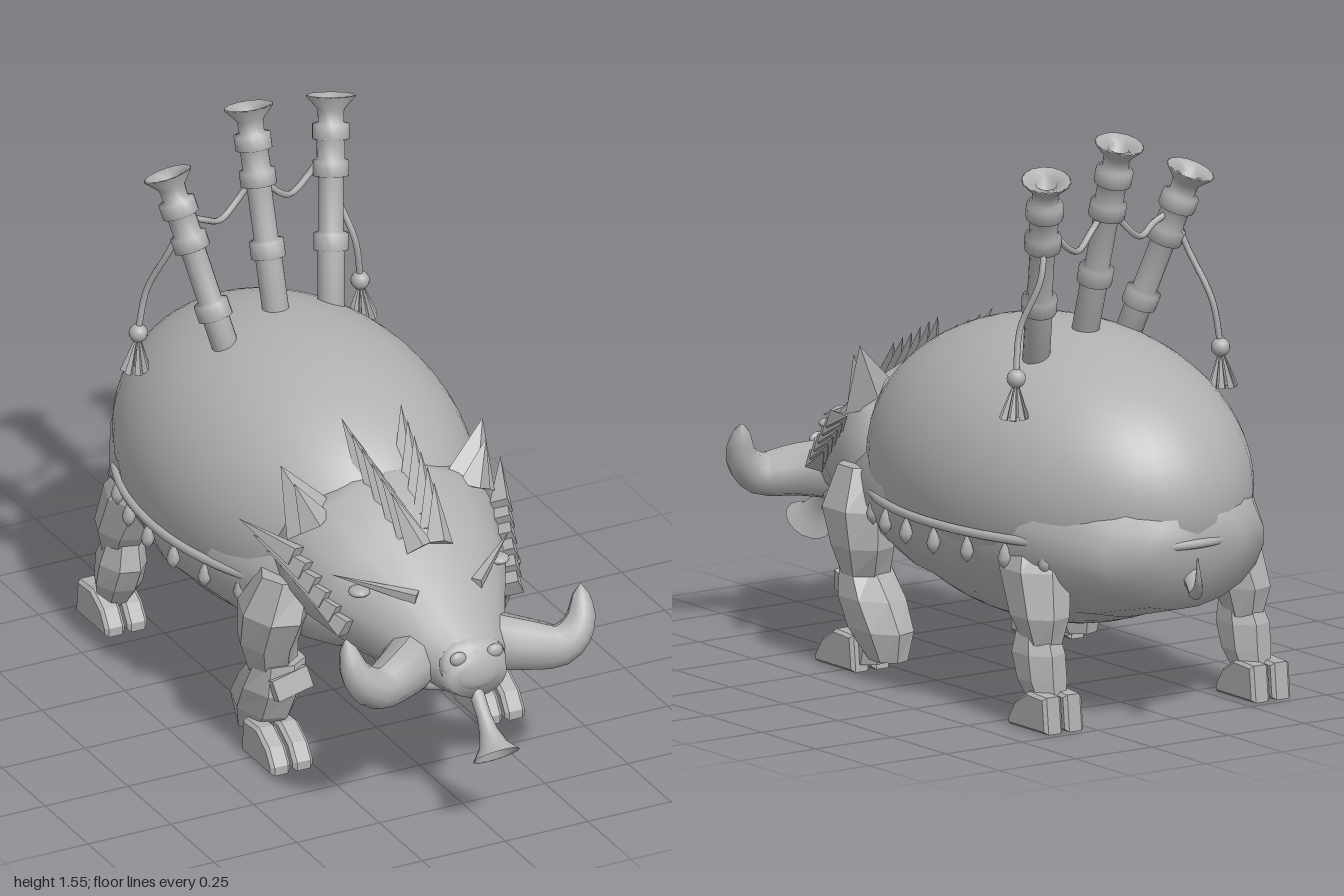
import * as THREE from 'three';

const grey = new THREE.MeshStandardMaterial({ color: 0xb0b0b0 });
grey.name = 'grey';
const V = (x, y, z) => new THREE.Vector3(x, y, z);

// Closed skin over elliptical rings [cx, cy, cz, rx, r2] stacked along increasing z or y
function loft(rings, sides, axis, flat) {
  const pos = [], idx = [], last = rings.length - 1;
  for (const [x, y, z, r1, r2] of rings) {
    for (let j = 0; j < sides; j++) {
      const a = (j + 0.5) / sides * Math.PI * 2, c = Math.cos(a) * r1, s = Math.sin(a) * r2;
      if (axis === 'z') pos.push(x + c, y + s, z); else pos.push(x + c, y, z - s);
    }
  }
  for (let i = 0; i < last; i++) for (let j = 0; j < sides; j++) {
    const k = (j + 1) % sides, a = i * sides + j, b = i * sides + k;
    idx.push(a, b, b + sides, a, b + sides, a + sides);
  }
  const base = pos.length / 3;
  pos.push(...rings[0].slice(0, 3), ...rings[last].slice(0, 3));
  for (let j = 0; j < sides; j++) {
    const k = (j + 1) % sides;
    idx.push(base, k, j, base + 1, last * sides + j, last * sides + k);
  }
  let geo = new THREE.BufferGeometry();
  geo.setAttribute('position', new THREE.Float32BufferAttribute(pos, 3));
  geo.setIndex(idx);
  if (flat) geo = geo.toNonIndexed();
  geo.computeVertexNormals();
  return geo;
}

// Tube whose radius follows radius(t)
function taperTube(points, radius, segs = 16, sides = 10) {
  const curve = new THREE.CatmullRomCurve3(points);
  const geo = new THREE.TubeGeometry(curve, segs, 1, sides), p = geo.attributes.position, v = V(0, 0, 0);
  for (let i = 0; i < p.count; i++) {
    const t = Math.floor(i / (sides + 1)) / segs, c = curve.getPointAt(t);
    v.fromBufferAttribute(p, i).sub(c).multiplyScalar(radius(t)).add(c);
    p.setXYZ(i, v.x, v.y, v.z);
  }
  geo.computeVertexNormals();
  return geo;
}

function lathe(profile, sides) {
  return new THREE.LatheGeometry(profile.map(([r, y]) => new THREE.Vector2(r, y)), sides);
}

export function createModel() {
  const model = new THREE.Group();
  const add = (name, geo, parent = model) => {
    const m = new THREE.Mesh(geo, grey);
    m.name = name;
    parent.add(m);
    return m;
  };
  const ball = (name, p, rx, ry = rx, rz = rx) => {
    const m = add(name, new THREE.SphereGeometry(1, 14, 10));
    m.position.copy(p);
    m.scale.set(rx, ry, rz);
    return m;
  };
  const aim = (m, from, to) => {
    m.position.copy(from);
    m.quaternion.setFromUnitVectors(V(0, 1, 0), to.clone().sub(from).normalize());
    return m;
  };
  const spike = (name, from, to, w, t) => {
    const geo = new THREE.ConeGeometry(1, 1, 4).toNonIndexed();
    geo.translate(0, 0.5, 0);
    geo.scale(w, from.distanceTo(to), t);
    geo.computeVertexNormals();
    return aim(add(name, geo), from, to);
  };

  // Inflated bag and the belly below it
  const bag = new THREE.SphereGeometry(1, 48, 32);
  bag.scale(0.44, 0.41, 0.65);
  add('bag', bag).position.set(0, 0.595, -0.22);
  add('belly', loft([
    [0, 0.5, -0.86, 0.16, 0.08], [0, 0.48, -0.8, 0.26, 0.17], [0, 0.5, -0.6, 0.37, 0.245],
    [0, 0.5, -0.25, 0.425, 0.29], [0, 0.5, 0.05, 0.40, 0.265], [0, 0.5, 0.3, 0.32, 0.22],
    [0, 0.5, 0.42, 0.2, 0.15]], 20, 'z'));

  // Rim cord and hanging drops around the bag
  const onRim = (a, y) => V(Math.sin(a) * 0.434, y, -0.22 + Math.cos(a) * 0.64);
  const rimPath = [];
  for (let i = 0; i < 40; i++) rimPath.push(onRim(i / 40 * Math.PI * 2, 0.5));
  add('rimCord', new THREE.TubeGeometry(new THREE.CatmullRomCurve3(rimPath, true), 80, 0.013, 8, true));
  const drop = lathe([[0, -0.04], [0.014, -0.025], [0.019, -0.008], [0.012, 0.015], [0, 0.04]], 6);
  for (const s of [-1, 1]) for (let i = 0; i < 11; i++) {
    add('rimDrop', drop).position.copy(onRim(s * (0.75 + i * 0.215), 0.455));
  }

  // Head, snout and face
  add('head', loft([
    [0, 0.58, 0.2, 0.31, 0.24], [0, 0.58, 0.35, 0.32, 0.23], [0, 0.53, 0.5, 0.265, 0.195],
    [0, 0.495, 0.62, 0.2, 0.155], [0, 0.455, 0.74, 0.135, 0.105], [0, 0.44, 0.8, 0.105, 0.085],
    [0, 0.425, 0.845, 0.085, 0.06]], 18, 'z'));
  ball('snoutPad', V(0, 0.455, 0.81), 0.1, 0.075, 0.04).rotation.x = -0.4;
  ball('jaw', V(0, 0.38, 0.6), 0.17, 0.05, 0.2);

  for (const s of [-1, 1]) {
    ball('nostril', V(s * 0.055, 0.485, 0.832), 0.024, 0.02, 0.014);
    ball('eye', V(s * 0.21, 0.6, 0.555), 0.03, 0.014, 0.03);
    spike('brow', V(s * 0.09, 0.6, 0.66), V(s * 0.27, 0.64, 0.5), 0.02, 0.02);
    add('tusk', taperTube([V(s * 0.08, 0.44, 0.66), V(s * 0.18, 0.435, 0.74), V(s * 0.28, 0.43, 0.785),
      V(s * 0.335, 0.48, 0.785), V(s * 0.355, 0.58, 0.755)], t => 0.085 * Math.sqrt(1 - t) + 0.002));

    // Ear: broad pointed shell with an inner ridge
    spike('ear', V(s * 0.235, 0.71, 0.33), V(s * 0.305, 0.875, 0.28), 0.085, 0.05);
    spike('innerEar', V(s * 0.24, 0.72, 0.36), V(s * 0.29, 0.84, 0.33), 0.05, 0.03);

    // Mane blades on the crown and tufts on the cheeks
    for (let i = 0; i < 6; i++) {
      const t = i / 5, x = 0.03 + 0.025 * t, y = 0.69 + 0.1 * t, z = 0.56 - 0.24 * t;
      spike('maneBlade', V(s * x, y, z), V(s * (x + 0.035), y + 0.13 + 0.02 * t, z - 0.1), 0.04, 0.03);
      const b = V(s * (0.25 + 0.06 * t), 0.5 + 0.15 * t, 0.56 - 0.18 * t);
      spike('cheekTuft', b, V(s * (0.31 + 0.085 * t), b.y + 0.055, b.z - 0.12 - 0.05 * t), 0.035, 0.035);
    }
  }

  // Chanter pipe held in the mouth
  const chanter = new THREE.Group();
  chanter.name = 'chanter';
  model.add(chanter);
  aim(chanter, V(0, 0.41, 0.8), V(0, 0.235, 0.948));
  add('chanterPipe', lathe([[0, 0], [0.02, 0], [0.02, 0.12], [0.026, 0.16], [0.04, 0.2], [0.066, 0.23],
    [0.06, 0.228], [0.02, 0.18], [0, 0.17]], 16), chanter);
  for (let i = 0; i < 4; i++) {
    const key = add('chanterKey', new THREE.SphereGeometry(0.009, 8, 6), chanter);
    key.position.set(0, 0.05 + i * 0.032, 0.021);
  }

  // Three drone pipes, each with collars and a flared mouth
  const drones = [
    [V(-0.175, 0.91, -0.26), V(-0.272, 1.415, -0.44)],
    [V(0, 0.92, -0.315), V(0, 1.53, -0.495)],
    [V(0.18, 0.91, -0.36), V(0.275, 1.475, -0.545)]];
  for (const [from, to] of drones) {
    const h = from.distanceTo(to), y = d => h - d;
    aim(add('drone', lathe([[0, 0], [0.037, 0], [0.037, y(0.42)], [0.048, y(0.415)], [0.048, y(0.37)],
      [0.034, y(0.365)], [0.034, y(0.22)], [0.05, y(0.215)], [0.05, y(0.175)], [0.039, y(0.17)],
      [0.039, y(0.12)], [0.051, y(0.115)], [0.051, y(0.075)], [0.035, y(0.07)], [0.037, y(0.035)],
      [0.068, 0.0 + h], [0.064, h + 0.003], [0.028, y(0.012)], [0.028, y(0.04)], [0, y(0.04)]], 14)), from, to);
  }

  // Cords draped between the drones, ending in tassels
  const cord = (...pts) => add('cord', new THREE.TubeGeometry(new THREE.CatmullRomCurve3(pts), 24, 0.009, 7));
  for (const s of [-1, 1]) {
    const y = s < 0 ? 1.3 : 1.34, z = s < 0 ? -0.4 : -0.5;
    cord(V(0, 1.36, -0.445), V(s * 0.06, 1.285, -0.445), V(s * 0.12, 1.25, (z - 0.45) / 2),
      V(s * 0.18, 1.275, z), V(s * 0.235, y, z));
    cord(V(s * 0.25, y - 0.02, z), V(s * 0.275, 1.2, z - 0.02), V(s * 0.315, 1.06, -0.48), V(s * 0.335, 0.94, -0.49));
    ball('tasselKnot', V(s * 0.335, 0.93, -0.49), 0.026);
    for (let i = 0; i < 7; i++) {
      const a = i / 7 * Math.PI * 2;
      const end = V(s * 0.343 + Math.cos(a) * 0.032, 0.82, -0.49 + Math.sin(a) * 0.032);
      spike('tasselStrand', end, V(s * 0.335, 0.935, -0.49), 0.012, 0.012);
    }
  }

  // Angular legs with split hooves
  const toe = new THREE.Shape([[-0.09, 0], [0.09, 0], [0.09, 0.025], [0.06, 0.07], [0.0, 0.105], [-0.08, 0.1]]
    .map(([z, y]) => new THREE.Vector2(z, y)));
  const toeGeo = new THREE.ExtrudeGeometry(toe, { depth: 0.04, bevelSize: 0.008, bevelThickness: 0.01, bevelSegments: 1, bevelOffset: -0.008 });
  toeGeo.translate(0, 0, -0.02);
  toeGeo.rotateY(-Math.PI / 2);
  for (const s of [-1, 1]) {
    const leg = (name, rings) => add(name, loft(rings.map(([x, ...r]) => [s * x, ...r]), 7, 'y', true));
    leg('frontThigh', [[0.31, 0.26, 0.24, 0.07, 0.06], [0.325, 0.34, 0.24, 0.08, 0.1],
      [0.32, 0.44, 0.265, 0.09, 0.125], [0.28, 0.55, 0.28, 0.08, 0.08]]);
    leg('frontShin', [[0.31, 0.04, 0.14, 0.05, 0.06], [0.31, 0.12, 0.18, 0.075, 0.12],
      [0.305, 0.2, 0.225, 0.085, 0.11], [0.3, 0.285, 0.26, 0.075, 0.06]]);
    leg('frontAnkle', [[0.315, 0.02, 0.22, 0.05, 0.05], [0.31, 0.12, 0.2, 0.055, 0.06]]);
    const pad = add('kneePad', new THREE.BoxGeometry(0.11, 0.06, 0.03));
    pad.position.set(s * 0.295, 0.235, 0.32);
    pad.rotation.set(-0.3, 0, -s * 0.2);
    leg('rearThigh', [[0.33, 0.22, -0.61, 0.05, 0.05], [0.33, 0.3, -0.59, 0.075, 0.095],
      [0.31, 0.42, -0.54, 0.09, 0.115], [0.27, 0.52, -0.5, 0.08, 0.08]]);
    leg('rearShin', [[0.335, 0.06, -0.64, 0.045, 0.05], [0.335, 0.13, -0.61, 0.065, 0.075],
      [0.335, 0.2, -0.59, 0.065, 0.09], [0.33, 0.275, -0.58, 0.05, 0.06]]);
    for (const [x, z] of [[0.32, 0.29], [0.34, -0.635]]) for (const d of [-0.034, 0.034]) {
      add('hoof', toeGeo).position.set(s * x + d, 0, z);
    }
  }

  // Curled tail
  add('tail', taperTube([V(0, 0.44, -0.8), V(0.02, 0.395, -0.87), V(0.05, 0.38, -0.92), V(0.08, 0.42, -0.975),
    V(0.1, 0.5, -1.0)], t => 0.03 * (1 - t) + 0.002, 14, 8));

  return model;
}
